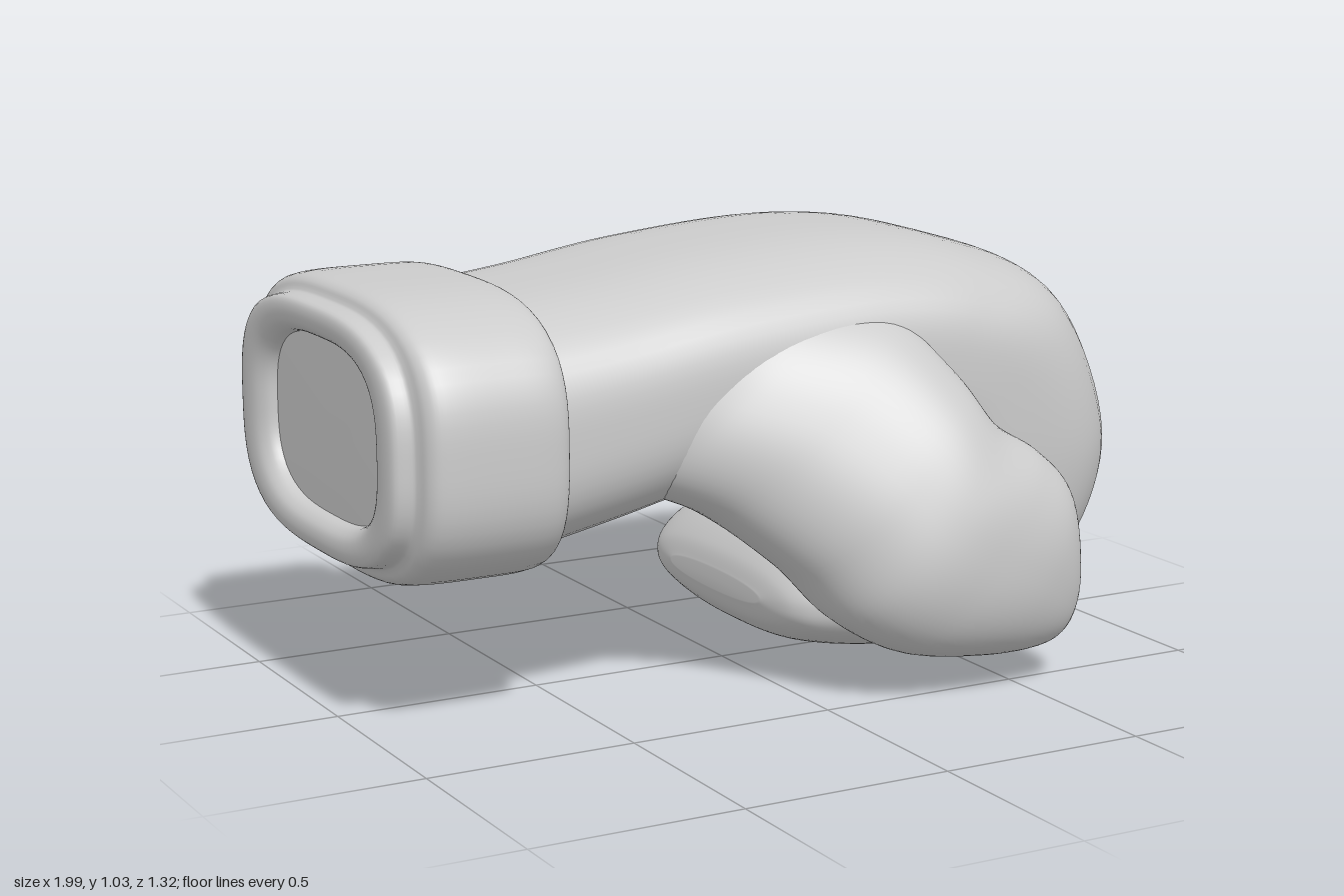
import * as THREE from 'three';

// Uniform Catmull-Rom blend of one number
function blend(a, b, c, d, t) {
  return 0.5 * (2 * b + (c - a) * t + (2 * a - 5 * b + 4 * c - d) * t * t + (3 * b - a - 3 * c + d) * t * t * t);
}

// Smooth skin over sections [ax, ay, bx, by, zCentre, zHalf, squareness]:
// a and b are the two ends of each section in the xy plane.
function loft(name, rows, steps, startCap, endCap, sides = 72) {
  const at = (i) => rows[Math.min(Math.max(i, 0), rows.length - 1)];
  const pos = [], index = [], centres = [];
  const total = (rows.length - 1) * steps;
  for (let s = 0; s <= total; s++) {
    const i = Math.min(Math.floor(s / steps), rows.length - 2);
    const t = s / steps - i;
    const [ax, ay, bx, by, zc, hz, n] = at(i).map((v, k) => blend(at(i - 1)[k], v, at(i + 1)[k], at(i + 2)[k], t));
    const mx = (ax + bx) / 2, my = (ay + by) / 2;
    centres.push([mx, my, zc]);
    for (let j = 0; j < sides; j++) {
      const c = Math.cos((j / sides) * Math.PI * 2), d = Math.sin((j / sides) * Math.PI * 2);
      const r = Math.pow(Math.abs(c) ** n + Math.abs(d) ** n, -1 / n);
      pos.push(mx + (ax - mx) * c * r, my + (ay - my) * c * r, zc + hz * d * r);
    }
  }
  for (let s = 0; s < total; s++) {
    for (let j = 0; j < sides; j++) {
      const k = (j + 1) % sides;
      const a = s * sides + j, b = s * sides + k, c = b + sides, d = a + sides;
      index.push(a, b, c, a, c, d);
    }
  }
  const cap = (s, flip) => {
    const m = pos.length / 3;
    pos.push(...centres[s]);
    for (let j = 0; j < sides; j++) {
      const a = s * sides + j, b = s * sides + ((j + 1) % sides);
      index.push(...(flip ? [b, a, m] : [a, b, m]));
    }
  };
  if (startCap) cap(0, true);
  if (endCap) cap(total, false);
  const geo = new THREE.BufferGeometry();
  geo.setAttribute('position', new THREE.Float32BufferAttribute(pos, 3));
  geo.setIndex(index);
  geo.computeVertexNormals();
  const mesh = new THREE.Mesh(geo, new THREE.MeshStandardMaterial({ color: 0xcccccc, side: THREE.DoubleSide }));
  mesh.name = name;
  return mesh;
}

export function createModel() {
  const glove = new THREE.Group();
  glove.name = 'boxingGlove';

  // Hand: from the wrist over the knuckles, curling under to the fingertips
  glove.add(loft('hand', [
    [-0.65, 0.935, -0.65, 0.35, -0.115, 0.468, 3],
    [-0.4, 0.965, -0.4, 0.4, -0.12, 0.475, 2.9],
    [-0.1, 1.01, -0.15, 0.455, -0.127, 0.488, 2.8],
    [0.3, 1.035, 0.1, 0.49, -0.135, 0.505, 2.8],
    [0.6, 0.995, 0.22, 0.5, -0.14, 0.52, 2.9],
    [0.85, 0.87, 0.28, 0.48, -0.138, 0.522, 3],
    [0.99, 0.53, 0.3, 0.44, -0.133, 0.512, 3],
    [0.92, 0.24, 0.28, 0.41, -0.128, 0.485, 2.9],
    [0.72, 0.06, 0.25, 0.38, -0.122, 0.455, 2.7],
    [0.4, 0.005, 0.2, 0.35, -0.12, 0.43, 2.6],
    [0.16, 0.035, 0.12, 0.3, -0.12, 0.4, 2.5],
    [0.07, 0.085, 0.065, 0.24, -0.12, 0.34, 2.4],
    [0.042, 0.14, 0.045, 0.19, -0.12, 0.22, 2.2],
  ], 8, true, true));

  // Thumb: grows out of the palm side and lies down along the fist
  glove.add(loft('thumb', [
    [0.02, 0.96, -0.5, 0.56, 0.14, 0.2, 2.3],
    [0.1, 0.93, -0.38, 0.51, 0.16, 0.22, 2.3],
    [0.28, 0.88, -0.2, 0.44, 0.24, 0.235, 2.3],
    [0.39, 0.75, -0.04, 0.31, 0.35, 0.24, 2.3],
    [0.46, 0.63, 0.06, 0.19, 0.425, 0.225, 2.3],
    [0.56, 0.56, 0.2, 0.11, 0.465, 0.197, 2.3],
    [0.635, 0.47, 0.4, 0.08, 0.48, 0.17, 2.3],
    [0.66, 0.31, 0.56, 0.08, 0.475, 0.13, 2.2],
    [0.66, 0.18, 0.64, 0.11, 0.465, 0.06, 2],
  ], 8, true, true));

  // Cuff: recessed opening, rolled rim and raised band, as [x, swell]
  const profile = [
    [-0.95, -2], [-0.975, -1.85], [-0.995, -1.4], [-1, -0.7], [-0.99, -0.15], [-0.955, 0],
    [-0.945, 0.2], [-0.935, 0.6], [-0.91, 0.88], [-0.85, 1], [-0.75, 1.02], [-0.66, 1],
    [-0.615, 0.85], [-0.597, 0.5], [-0.59, 0.05], [-0.6, -0.3],
  ];
  glove.add(loft('cuff', profile.map(([x, k]) => {
    const hy = 0.29 + 0.043 * k, hz = 0.47 + 0.07 * k;
    return [x, 0.652 + hy, x, 0.652 - hy, -0.115, hz, 3];
  }), 4, false, false));

  // Floor of the opening
  glove.add(loft('cuffFloor', [
    [-0.952, 0.86, -0.952, 0.444, -0.115, 0.335, 3],
    [-0.95, 0.862, -0.95, 0.442, -0.115, 0.337, 3],
  ], 1, true, false));
  return glove;
}
